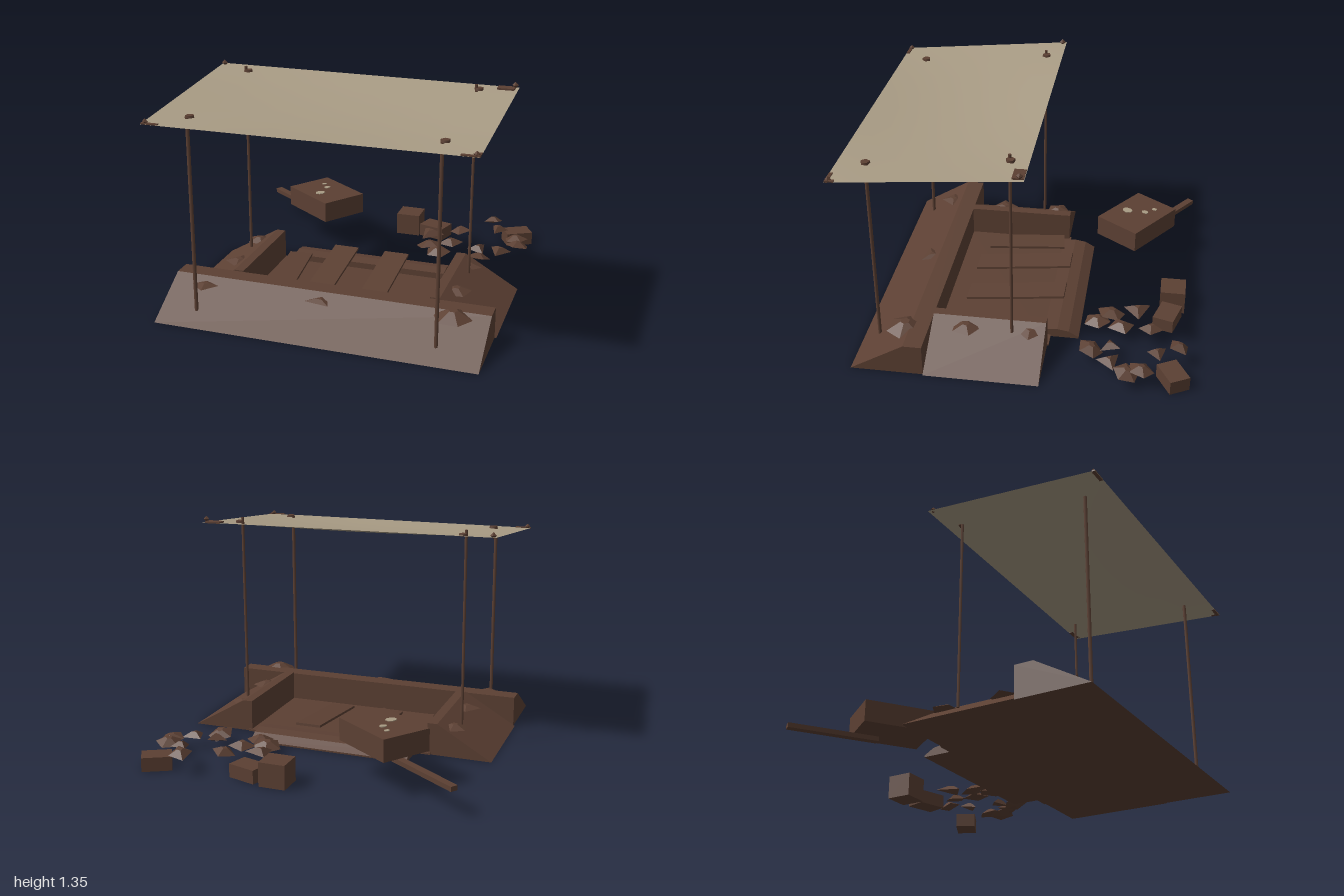
import * as THREE from 'three';

const earth = new THREE.MeshStandardMaterial({ color: 0x5c4033, side: THREE.DoubleSide });
earth.name = 'earth brown';
const canvas = new THREE.MeshStandardMaterial({ color: 0xa89b84, side: THREE.DoubleSide });
canvas.name = 'canvas beige';

function add(parent, name, geometry, material, x = 0, y = 0, z = 0, ry = 0) {
  const m = new THREE.Mesh(geometry, material);
  m.name = name;
  m.position.set(x, y, z);
  m.rotation.y = ry;
  parent.add(m);
  return m;
}

// Prism from a side profile, extruded along z
function prism(points, depth) {
  const shape = new THREE.Shape(points.map(([x, y]) => new THREE.Vector2(x, y)));
  return new THREE.ExtrudeGeometry(shape, { depth, bevelEnabled: false });
}

// Flat faceted stone: a squashed low cone with a shallow underside
function shard(sides, r, h) {
  const pts = [[0.001, -h * 0.35], [r, 0], [r * 0.25, h], [0.001, h]];
  const g = new THREE.LatheGeometry(pts.map(p => new THREE.Vector2(...p)), sides).toNonIndexed();
  g.computeVertexNormals();
  return g;
}

// Straight pole between two points
function pole(parent, name, a, b, r) {
  const from = new THREE.Vector3(...a), dir = new THREE.Vector3(...b).sub(from);
  const m = add(parent, name, new THREE.CylinderGeometry(r, r, dir.length(), 6), earth);
  m.position.copy(from).addScaledVector(dir, 0.5);
  m.quaternion.setFromUnitVectors(new THREE.Vector3(0, 1, 0), dir.normalize());
}

export function createModel() {
  const g = new THREE.Group();
  g.name = 'coveredDugout';

  // Dugout floor and the three earth banks around it
  add(g, 'floor', new THREE.BoxGeometry(1.2, 0.012, 0.7), earth, 0, 0.006, 0.19);
  const front = prism([[-0.955, 0], [-0.525, 0], [-0.525, 0.19], [-0.635, 0.19]], 1.925);
  front.rotateY(Math.PI / 2);
  add(g, 'frontBank', front, earth, -0.9625);
  for (const s of [-1, 1]) {
    const side = prism([[0.973, 0], [0.638, 0.197], [0.58, 0.197], [0.58, 0]].map(([x, y]) => [s * x, y]), 0.675);
    add(g, s > 0 ? 'leftBank' : 'rightBank', side, earth, 0, 0, -0.15);
  }

  // Low step at the open back
  const step = prism([[0.12, 0], [0.12, 0.05], [0.2, 0.057], [0.27, 0.045], [0.33, 0.01], [0.33, 0]], 1.01);
  step.rotateY(Math.PI / 2);
  add(g, 'backStep', step, earth, -0.505);

  // Planks leaning down into the dugout
  for (const x of [-0.17, 0.17]) {
    add(g, 'plank', new THREE.BoxGeometry(0.16, 0.015, 0.62), earth, x, 0.075, 0.1).rotation.x = 0.11;
  }
  add(g, 'loosePlank', new THREE.BoxGeometry(0.15, 0.015, 0.5), earth, -0.43, 0.06, 0.12, 0.12);

  // Canopy sheet, front edge low and the middle sagging
  const sheet = new THREE.PlaneGeometry(1.87, 1.07, 8, 6).rotateX(-Math.PI / 2);
  const p = sheet.attributes.position;
  for (let i = 0; i < p.count; i++) {
    const u = p.getX(i) / 0.935, v = p.getZ(i) / 0.535;
    const sag = 0.04 * (1 - u * u) * (1 - v * v);
    p.setY(i, 1.268 - 0.048 * v - 0.006 * u * (1 - v) * 0.5 - sag);
  }
  sheet.computeVertexNormals();
  add(g, 'canopy', sheet, canvas, 0, 0, 0.465);

  // Poles with a knot above the cloth
  for (const s of [-1, 1]) {
    const x = s * 0.72;
    pole(g, 'frontPole', [x - 0.02, 0.06, 0.845], [x - 0.015, 1.235, 0.84], 0.011);
    pole(g, 'backPole', [x - 0.02, 0.14, 0.045], [x - 0.015, 1.34, 0.04], 0.009);
    add(g, 'frontKnot', new THREE.CylinderGeometry(0.026, 0.028, 0.014, 5), earth, x, 1.239, 0.833, s);
    add(g, 'backKnot', new THREE.CylinderGeometry(0.026, 0.028, 0.014, 5), earth, x, 1.313, 0.034, s);
  }

  // Corner ties
  for (const s of [-1, 1]) {
    add(g, 'frontTie', new THREE.BoxGeometry(0.1, 0.008, 0.02), earth, s * 0.885, 1.223, 0.988);
    add(g, 'frontTieKnot', new THREE.OctahedronGeometry(0.018), earth, s * 0.915, 1.232, 0.98);
    add(g, 'backTieKnot', new THREE.OctahedronGeometry(0.02), earth, s * 0.915, 1.33, -0.045);
  }
  add(g, 'frontTieEnd', new THREE.BoxGeometry(0.02, 0.008, 0.05), earth, 0.925, 1.226, 0.97);
  add(g, 'backTie', new THREE.BoxGeometry(0.1, 0.01, 0.065), earth, 0.865, 1.311, -0.035);

  // Stones stuck in the banks: x, y, z, radius, height, sides
  for (const [x, y, z, r, h, n] of [
    [0.75, 0.165, 0.67, 0.115, 0.045, 6], [-0.75, 0.158, 0.7, 0.08, 0.015, 4], [-0.03, 0.158, 0.69, 0.09, 0.015, 3],
    [0.69, 0.16, 0.32, 0.09, 0.025, 5], [0.68, 0.155, -0.06, 0.08, 0.02, 4],
    [-0.7, 0.16, 0.32, 0.09, 0.02, 4], [-0.72, 0.152, -0.05, 0.08, 0.025, 5],
  ]) add(g, 'bankStone', shard(n, r, h), earth, x, y, z, n + x);

  // Mallet: block head with pale chips, handle slung below
  const mallet = new THREE.Group();
  mallet.name = 'mallet';
  mallet.position.set(-0.457, 0, -0.61);
  mallet.rotation.y = -0.615;
  g.add(mallet);
  add(mallet, 'head', new THREE.BoxGeometry(0.425, 0.133, 0.315), earth, 0, 0.27, 0);
  add(mallet, 'handle', new THREE.BoxGeometry(0.535, 0.028, 0.045), earth, -0.348, 0.161, 0);
  for (const [x, z, r] of [[-0.11, -0.06, 0.014], [-0.04, -0.035, 0.019], [0.02, 0.065, 0.029]]) {
    add(mallet, 'paleChip', new THREE.CylinderGeometry(r, r, 0.004, 7), canvas, x, 0.338, z).scale.z = 1.25;
  }

  // Blocks: x, z, width, height, depth, turn
  for (const [x, z, w, h, d, a] of [
    [0.08, -0.878, 0.16, 0.145, 0.155, 0], [0.268, -0.852, 0.18, 0.082, 0.13, -0.29], [0.832, -0.905, 0.175, 0.085, 0.125, 0.5],
  ]) add(g, 'block', new THREE.BoxGeometry(w, h, d), earth, x, h / 2, z, a);

  // Scattered rubble: x, y, z, radius, sides
  [
    [0.47, 0.09, -0.76, 0.075, 4], [0.28, 0.08, -0.67, 0.095, 3], [0.31, 0.065, -0.51, 0.09, 5],
    [0.44, 0.07, -0.58, 0.085, 4], [0.39, 0.06, -0.43, 0.085, 5], [0.66, 0.12, -0.93, 0.07, 4],
    [0.72, 0.11, -0.81, 0.065, 3], [0.855, 0.09, -0.72, 0.08, 5], [0.88, 0.08, -0.64, 0.08, 5],
    [0.64, 0.07, -0.53, 0.07, 3], [0.665, 0.06, -0.415, 0.08, 5], [0.78, 0.07, -0.535, 0.08, 3],
  ].forEach(([x, y, z, r, n], i) => {
    const m = add(g, 'rubble', shard(n, r, 0.032), earth, x, y, z, i * 1.7);
    m.rotation.x = 0.18 * Math.sin(i * 2.3);
    m.rotation.z = 0.18 * Math.cos(i * 1.9);
  });

  return g;
}
